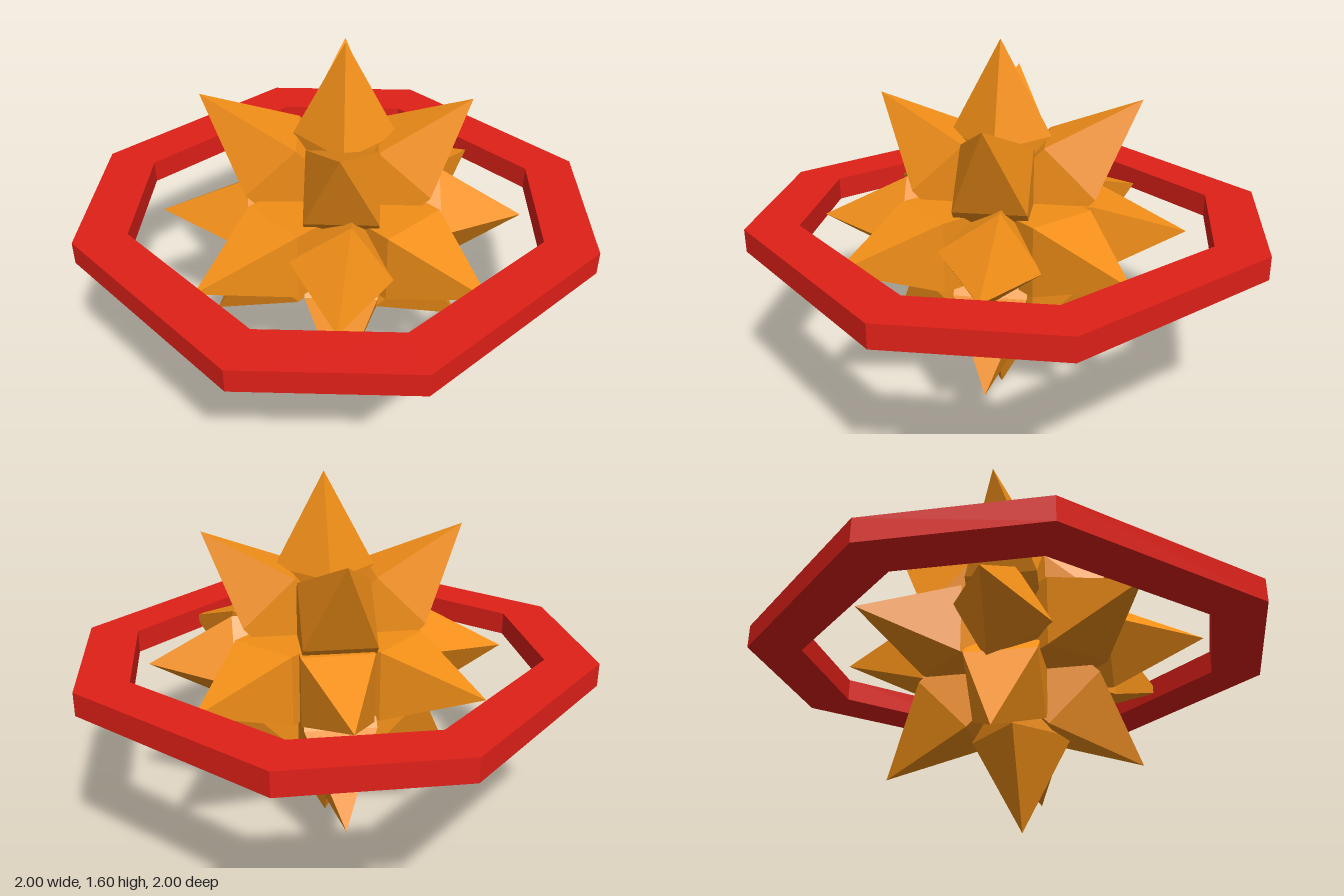
import * as THREE from 'three';
import { mergeGeometries } from 'three/addons/utils/BufferGeometryUtils.js';

const ORANGE = new THREE.MeshStandardMaterial({ color: 0xf28f18, flatShading: true });
const RED = new THREE.MeshStandardMaterial({ color: 0xe02018, flatShading: true });
const ARM = 0.4, WIDTH = 0.3;

// Square arm with a pyramid tip, running from origin to apex
function spike(name, origin, apex, roll = 0) {
  const start = new THREE.Vector3(...origin);
  const dir = new THREE.Vector3(...apex).sub(start);
  const tip = dir.length() - ARM;
  dir.normalize();
  const arm = new THREE.BoxGeometry(WIDTH, ARM, WIDTH).translate(0, ARM / 2, 0);
  const point = new THREE.ConeGeometry(WIDTH / Math.SQRT2, tip, 4, 1, true)
    .rotateY(Math.PI / 4).translate(0, ARM + tip / 2, 0);
  const geometry = mergeGeometries([arm, point]).rotateY(roll);
  const side = Math.abs(dir.y) > 0.99
    ? new THREE.Vector3(1, 0, 0)
    : new THREE.Vector3(dir.z, 0, -dir.x).normalize();
  const up = side.clone().cross(dir);
  geometry.applyMatrix4(new THREE.Matrix4().makeBasis(side, dir, up).setPosition(start));
  const mesh = new THREE.Mesh(geometry, ORANGE);
  mesh.name = name;
  return mesh;
}

// Octagon with straight sides at r and corners at half r
function octagon(target, r) {
  const h = r / 2;
  target.setFromPoints([[h, r], [-h, r], [-r, h], [-r, -h], [-h, -r], [h, -r], [r, -h], [r, h]]
    .map(([x, y]) => new THREE.Vector2(x, y)));
  return target;
}

export function createModel() {
  const model = new THREE.Group();
  model.name = 'spikedStarInRing';

  // Flat octagonal ring
  const shape = octagon(new THREE.Shape(), 1);
  shape.holes.push(octagon(new THREE.Path(), 0.8));
  const ring = new THREE.Mesh(
    new THREE.ExtrudeGeometry(shape, { depth: 0.1, bevelEnabled: false })
      .rotateX(-Math.PI / 2).translate(0, 0.75, 0), RED);
  ring.name = 'ring';
  model.add(ring);

  const star = new THREE.Group();
  star.name = 'star';
  star.position.set(0.05, 0.8, 0);
  model.add(star);

  // Six spikes along the axes
  for (const s of [1, -1]) {
    star.add(spike('sideSpike', [0, 0, 0], [0.8 * s, 0, 0]));
    star.add(spike('verticalSpike', [0, 0, 0], [0, s > 0 ? 0.8 : -0.795, 0]));
    star.add(spike('frontBackSpike', [0, 0, 0], [0, 0, 0.8 * s]));
  }

  // Four level diagonal spikes, some rolled about their own axis
  const level = [[0.55, 0.56, 0.6], [0.52, -0.55, 0.6], [-0.565, 0.55, 0.5], [-0.565, -0.55, 0]];
  for (const [x, z, roll] of level) star.add(spike('levelSpike', [0, 0, 0], [x, 0, z], roll));

  // Raised diagonal spikes, mirrored below
  const raised = [[0.35, 0.36], [0.36, -0.36], [-0.42, 0.41], [-0.42, -0.4]];
  for (const [x, z] of raised) {
    const origin = [-0.025, 0, x > 0 ? -0.02 * Math.sign(z) : 0];
    star.add(spike('upperSpike', origin, [x, 0.565, z]));
    star.add(spike('lowerSpike', origin, [x, -0.545, z]));
  }
  return model;
}
